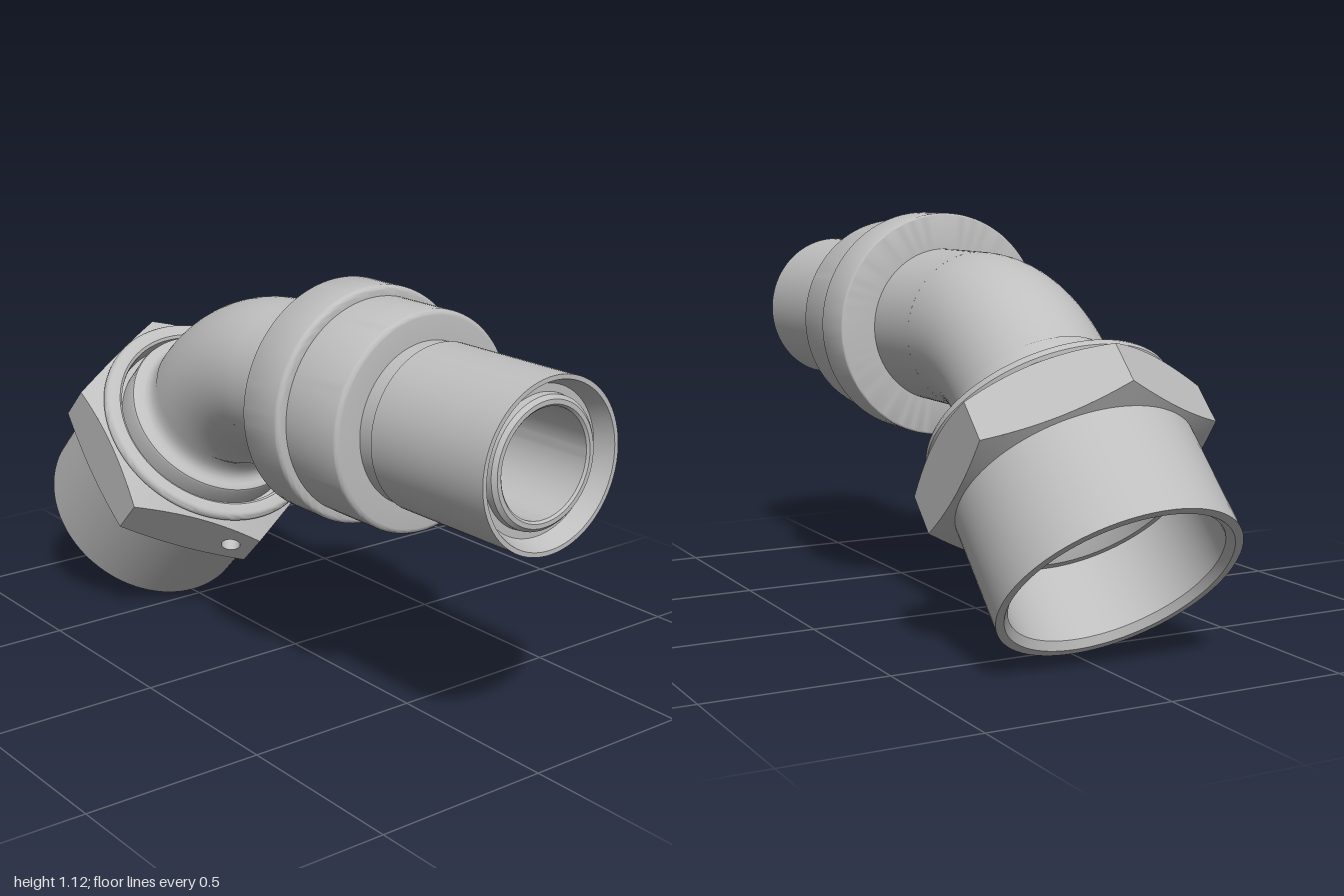
import * as THREE from 'three';
import { toCreasedNormals } from 'three/addons/utils/BufferGeometryUtils.js';

const steel = new THREE.MeshStandardMaterial({ color: 0xbfbfbf, side: THREE.DoubleSide });
steel.name = 'steel grey';

const AXIS_Y = 0.8;                              // height of the straight tube
const BEND = { x: -0.02, y: 0.35, r: 0.45 };     // centre and radius of the 45 degree bend
const APOTHEM = 0.343;
const CORNER = APOTHEM / Math.cos(Math.PI / 6);

function add(parent, name, geometry) {
  const mesh = new THREE.Mesh(geometry, steel);
  mesh.name = name;
  parent.add(mesh);
  return mesh;
}

// Turned part: profile points are [radius, position along the axis]
function turned(profile, segments = 96) {
  const pts = profile.map(([r, h]) => new THREE.Vector2(r, h));
  return toCreasedNormals(new THREE.LatheGeometry(pts, segments), 0.6);
}

// Quarter-round corner as profile points
function round(r, h, radius, from) {
  return Array.from({ length: 6 }, (_, i) => {
    const a = from + (i / 5) * Math.PI / 2;
    return [r + radius * Math.cos(a), h + radius * Math.sin(a)];
  });
}

// Heights of the chamfer cones that trim the hexagon
const hexTop = r => 0.447 + (CORNER - r) * 0.55;
const hexBottom = r => 0.33 - (CORNER - r) * 0.35;

// One flat of the hexagon, bounded by the chamfer curves
function hexFlat(withHole) {
  const half = APOTHEM * Math.tan(Math.PI / 6), n = 16, pts = [];
  for (let i = 0; i <= n; i++) {
    const u = -half + (2 * half * i) / n;
    pts.push(new THREE.Vector2(u, hexBottom(Math.hypot(u, APOTHEM))));
  }
  for (let i = n; i >= 0; i--) {
    const u = -half + (2 * half * i) / n;
    pts.push(new THREE.Vector2(u, hexTop(Math.hypot(u, APOTHEM))));
  }
  const shape = new THREE.Shape(pts);
  if (withHole) shape.holes.push(new THREE.Path().absarc(0.129, 0.39, 0.028, 0, Math.PI * 2, true));
  return new THREE.ShapeGeometry(shape, 24);
}

// Conical ring from the round body out to the hexagon outline
function chamfer(height, up) {
  const n = 96, inner = 0.325, pos = [], index = [];
  for (let i = 0; i <= n; i++) {
    const a = (i / n) * Math.PI * 2;
    const d = (a % (Math.PI / 3)) - Math.PI / 6;
    for (const r of [inner, APOTHEM / Math.cos(d)]) {
      pos.push(r * Math.cos(a), height(r), r * Math.sin(a));
    }
    if (i < n) {
      const k = i * 2;
      if (up) index.push(k, k + 2, k + 1, k + 1, k + 2, k + 3);
      else index.push(k, k + 1, k + 2, k + 1, k + 3, k + 2);
    }
  }
  const g = new THREE.BufferGeometry();
  g.setAttribute('position', new THREE.Float32BufferAttribute(pos, 3));
  g.setIndex(index);
  g.computeVertexNormals();
  return g;
}

// 45 degree bend of the given tube radius
function bend(parent, name, radius) {
  const mesh = add(parent, name, new THREE.TorusGeometry(BEND.r, radius, 64, 32, Math.PI / 4));
  mesh.position.set(BEND.x, BEND.y, 0);
  mesh.rotation.z = Math.PI / 2;
}

export function createModel() {
  const model = new THREE.Group();
  model.name = 'elbowFitting';

  // Straight run along +x
  const straight = new THREE.Group();
  straight.name = 'straightRun';
  straight.position.y = AXIS_Y;
  straight.rotation.z = -Math.PI / 2;
  model.add(straight);

  add(straight, 'straightTube', turned([[0.22, BEND.x], [0.22, 0.25]]));
  add(straight, 'flange', turned([
    [0.2, 0.2],
    ...round(0.315, 0.207, 0.007, -Math.PI / 2),
    ...round(0.308, 0.336, 0.014, 0),
    [0.294, 0.35],
    ...round(0.279, 0.535, 0.015, 0),
    [0.215, 0.55],
  ]));
  add(straight, 'groove', turned([[0.216, 0.545], [0.216, 0.6], [0.222, 0.602]]));
  // Outer sleeve with recessed inner tube lip
  add(straight, 'sleeve', turned([
    [0.222, 0.6], [0.222, 1], [0.21, 1], [0.19, 0.95], [0.17, 0.95],
    [0.168, 0.97], [0.158, 0.98], [0.146, 0.98], [0.14, 0.974],
  ]));
  add(straight, 'straightBore', turned([[0.14, 0.974], [0.14, BEND.x]]));

  bend(model, 'bentTube', 0.22);
  bend(model, 'bentBore', 0.14);

  // Nut end, its axis pointing up towards the bend
  const nut = new THREE.Group();
  nut.name = 'nutEnd';
  nut.position.set(-0.769, 0.2325, 0);
  nut.rotation.z = -Math.PI / 4;
  model.add(nut);

  add(nut, 'nutBody', turned([
    [0.14, 0.612], [0.14, 0.34], [0.16, 0.34], [0.19, 0.3], [0.27, 0.24], [0.288, 0.24],
    [0.288, 0.02], [0.305, 0], [0.327, 0], [0.327, 0.478],
    [0.333, 0.483], [0.339, 0.491], [0.339, 0.502], [0.334, 0.51], [0.326, 0.514],
    [0.297, 0.514], [0.289, 0.508], [0.287, 0.5], [0.287, 0.46], [0.27, 0.46],
  ]));
  add(nut, 'neckRing', turned([
    [0.27, 0.46], [0.27, 0.538], [0.267, 0.545], [0.26, 0.549], [0.25, 0.55],
    [0.237, 0.555], [0.227, 0.566], [0.222, 0.582], [0.22, 0.6], [0.22, 0.616],
  ]));

  // Hexagon flats, one with a small drilled hole
  for (let k = 0; k < 6; k++) {
    const phi = Math.PI / 6 + (k * Math.PI) / 3;
    const flat = add(nut, 'hexFlat', hexFlat(k === 0));
    flat.position.set(APOTHEM * Math.cos(phi), 0, APOTHEM * Math.sin(phi));
    flat.rotation.y = Math.PI / 2 - phi;
    if (k === 0) {
      const wall = new THREE.CylinderGeometry(0.028, 0.028, 0.06, 24, 1, true);
      wall.rotateX(Math.PI / 2).translate(0.129, 0.39, -0.03);
      add(flat, 'lockHole', wall);
    }
  }
  add(nut, 'hexTopChamfer', chamfer(hexTop, true));
  add(nut, 'hexBottomChamfer', chamfer(hexBottom, false));

  return model;
}
